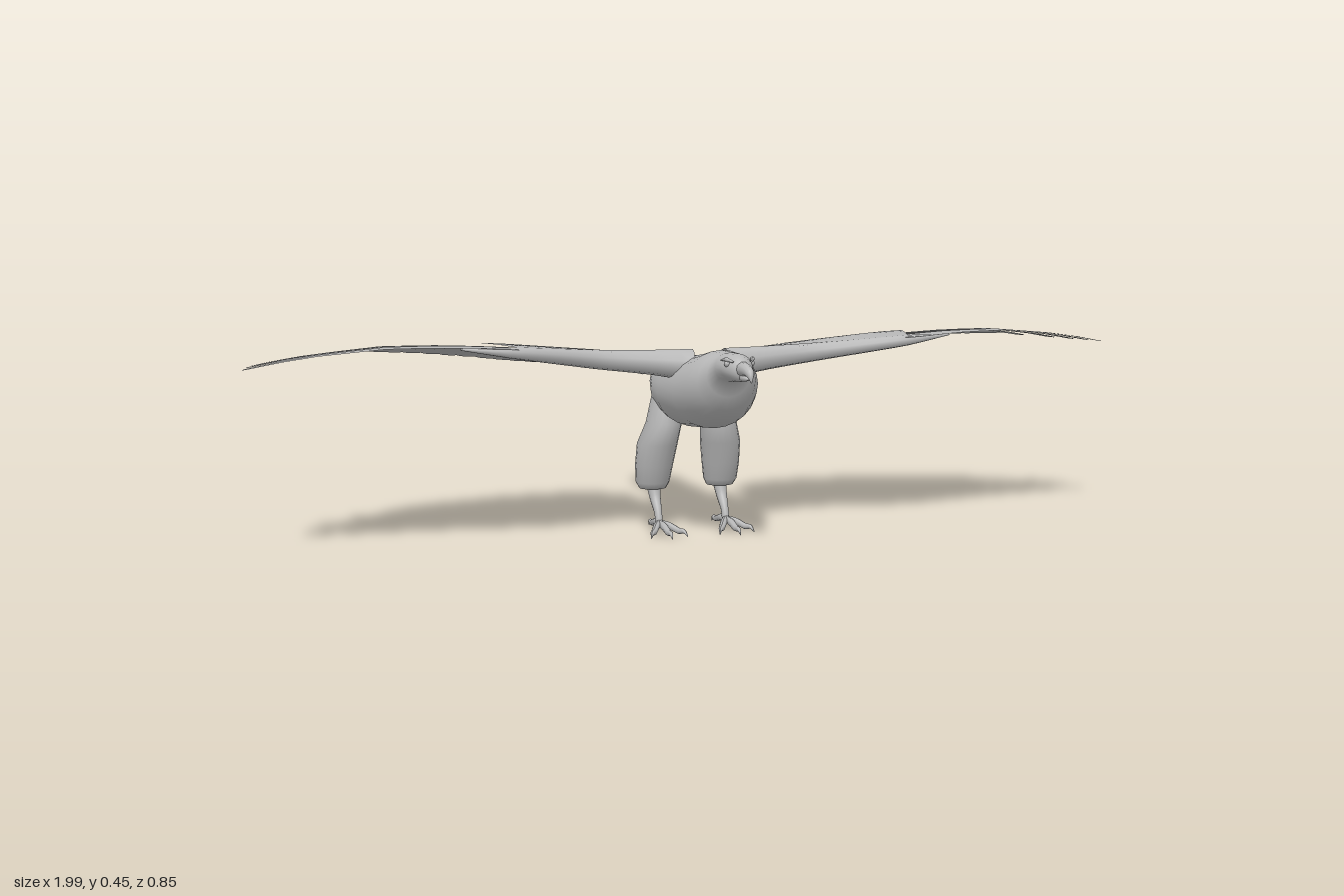
import * as THREE from 'three';

const plumage = new THREE.MeshStandardMaterial({ color: 0xb8b8b8, side: THREE.DoubleSide });
plumage.name = 'plumage grey';

const V = (x, y, z) => new THREE.Vector3(x, y, z);
const lerp = THREE.MathUtils.lerp;

function add(group, name, geometry) {
  const mesh = new THREE.Mesh(geometry, plumage);
  mesh.name = name;
  group.add(mesh);
  return mesh;
}

// linear lookup in a table of [position, value]
function lookup(table, x) {
  let i = 1;
  while (i < table.length - 1 && x > table[i][0]) i++;
  const [x0, y0] = table[i - 1], [x1, y1] = table[i];
  return lerp(y0, y1, THREE.MathUtils.clamp((x - x0) / (x1 - x0), 0, 1));
}

// surface through a rows x cols lattice of points; wrap closes each row
function lattice(rows, cols, point, wrap = false) {
  const pos = [], idx = [];
  for (let r = 0; r < rows; r++)
    for (let c = 0; c < cols; c++) pos.push(...point(r, c));
  for (let r = 0; r < rows - 1; r++) {
    for (let c = 0; c < (wrap ? cols : cols - 1); c++) {
      const d = (c + 1) % cols;
      const a = r * cols + c, b = r * cols + d;
      idx.push(a, a + cols, b, b, a + cols, b + cols);
    }
  }
  const g = new THREE.BufferGeometry();
  g.setAttribute('position', new THREE.Float32BufferAttribute(pos, 3));
  g.setIndex(idx);
  g.computeVertexNormals();
  return g;
}

// tube along a curve whose radius follows a list
function taper(points, radii, sides = 10) {
  const curve = new THREE.CatmullRomCurve3(points);
  const seg = (points.length - 1) * 5;
  const g = new THREE.TubeGeometry(curve, seg, 1, sides);
  const p = g.attributes.position, v = V(0, 0, 0);
  for (let i = 0; i <= seg; i++) {
    const centre = curve.getPointAt(i / seg);
    const u = curve.getUtoTmapping(i / seg) * (radii.length - 1);
    const k = Math.min(Math.floor(u), radii.length - 2);
    const r = lerp(radii[k], radii[k + 1], u - k);
    for (let j = 0; j <= sides; j++) {
      const n = i * (sides + 1) + j;
      v.fromBufferAttribute(p, n).sub(centre).multiplyScalar(r).add(centre);
      p.setXYZ(n, v.x, v.y, v.z);
    }
  }
  g.computeVertexNormals();
  return g;
}

// wing height: arched along the span, drooping to the trailing edge
const SPAN = [[0.05, 0.4], [0.2, 0.42], [0.45, 0.443], [0.58, 0.449], [0.7, 0.45], [0.85, 0.436], [0.93, 0.424], [1, 0.41]];
const wingY = (x, z) => lookup(SPAN, Math.abs(x)) - 0.3 * Math.max(0, 0.2 - z) ** 2;

// round-tipped feather laid on a height function
function feather(s, root, tip, w0, w1, height) {
  const dx = tip[0] - root[0], dz = tip[1] - root[1], len = Math.hypot(dx, dz);
  const round = (w1 / 2) / len, rows = 15;
  return lattice(rows, 5, (r, c) => {
    const t = r < 8 ? (r / 8) * (1 - round) : 1 - round * (1 - Math.sin(((r - 8) / 6) * Math.PI / 2));
    const e = Math.max(0, (t - 1 + round) / round);
    const half = lerp(w0, w1, t) / 2 * Math.sqrt(Math.max(0, 1 - e * e));
    const k = (c / 2 - 1) * half;
    const x = s * (root[0] + dx * t - dz / len * k), z = root[1] + dz * t + dx / len * k;
    return [x, height(x, z), z];
  });
}

function buildBody(group) {
  // z, top, bottom, half width, from face to rump
  const rings = [
    [0.378, 0.398, 0.398, 0], [0.375, 0.416, 0.378, 0.016], [0.36, 0.425, 0.373, 0.027],
    [0.335, 0.43, 0.371, 0.036], [0.305, 0.43, 0.367, 0.038], [0.287, 0.428, 0.332, 0.05],
    [0.275, 0.429, 0.302, 0.066], [0.24, 0.429, 0.277, 0.085], [0.2, 0.42, 0.254, 0.097],
    [0.1, 0.405, 0.244, 0.1], [0.03, 0.397, 0.25, 0.092], [-0.03, 0.388, 0.285, 0.075],
    [-0.07, 0.38, 0.316, 0.052], [-0.14, 0.363, 0.317, 0.03], [-0.157, 0.36, 0.327, 0.022],
    [-0.163, 0.348, 0.348, 0],
  ];
  const n = 24;
  add(group, 'body', lattice(rings.length, n, (r, c) => {
    const [z, top, bottom, w] = rings[r], a = (c / n) * Math.PI * 2;
    return [w * Math.cos(a), (top + bottom) / 2 + (top - bottom) / 2 * Math.sin(a), z];
  }, true));

  add(group, 'upperBeak', taper(
    [V(0, 0.4, 0.36), V(0, 0.401, 0.392), V(0, 0.394, 0.414), V(0, 0.377, 0.423)], [0.018, 0.013, 0.009, 0.001]));
  add(group, 'lowerBeak', taper([V(0, 0.386, 0.36), V(0, 0.383, 0.385), V(0, 0.382, 0.408)], [0.012, 0.007, 0.001]));
  for (const s of [1, -1]) {
    const eye = add(group, 'eye', new THREE.SphereGeometry(0.007, 12, 8));
    eye.position.set(s * 0.027, 0.411, 0.351);
    add(group, 'brow', taper(
      [V(s * 0.02, 0.416, 0.37), V(s * 0.029, 0.42, 0.352), V(s * 0.033, 0.417, 0.33)], [0.002, 0.005, 0.001], 8));
  }
}

function buildTail(group) {
  for (let i = -2; i <= 2; i++) {
    const height = (x) => 0.354 - 1.6 * x * x - Math.abs(i) * 0.0005;
    add(group, 'tailFeather', feather(1, [i * 0.022, -0.09], [i * 0.019, -0.428 + 0.006 * i * i], 0.06, 0.05, height));
  }
}

function buildLeg(group, s) {
  // y, front z, back z, inner x, outer x
  const rings = [
    [0.36, 0.035, 0.035, 0.055, 0.055], [0.35, 0.07, 0, 0.03, 0.08], [0.25, 0.091, -0.005, 0.025, 0.105],
    [0.2, 0.077, -0.024, 0.03, 0.121], [0.15, 0.06, -0.027, 0.037, 0.123], [0.11, 0.047, -0.027, 0.043, 0.12],
    [0.096, 0.037, -0.02, 0.05, 0.112], [0.093, 0.01, 0.01, 0.08, 0.08],
  ];
  const n = 18;
  add(group, 'thigh', lattice(rings.length, n, (r, c) => {
    const [y, f, b, i, o] = rings[r], a = (c / n) * Math.PI * 2;
    return [s * (i + o) / 2 + (o - i) / 2 * Math.cos(a), y, (f + b) / 2 - (f - b) / 2 * Math.sin(a)];
  }, true));
  add(group, 'shank', taper(
    [V(s * 0.08, 0.11, 0.01), V(s * 0.08, 0.075, 0.025), V(s * 0.08, 0.045, 0.046), V(s * 0.08, 0.018, 0.055)],
    [0.018, 0.013, 0.009, 0.009]));
  // three toes forward, one back, each ending in a claw
  for (const [x, z] of [[0.08, 0.152], [0.038, 0.132], [0.122, 0.128], [0.077, -0.033]]) {
    const at = (t, y) => V(s * lerp(0.08, x, t), y, lerp(0.055, z, t));
    add(group, 'toe', taper([at(0, 0.022), at(0.35, 0.02), at(0.7, 0.012), at(0.86, 0.013), at(1, 0.002)],
      [0.008, 0.008, 0.007, 0.005, 0.0006], 8));
  }
}

function buildWing(group, s) {
  add(group, 'wingArm', taper(
    [V(s * 0.04, 0.39, 0.16), V(s * 0.13, 0.398, 0.15), V(s * 0.25, 0.408, 0.15), V(s * 0.45, 0.434, 0.214), V(s * 0.56, 0.444, 0.207)],
    [0.035, 0.027, 0.021, 0.012, 0.002]));

  // separated finger feathers at the wing tip
  const fingers = [[0.995, 0.143], [0.985, 0.097], [0.97, 0.055], [0.942, 0.012], [0.88, -0.03]];
  fingers.forEach((tip, i) => add(group, 'fingerFeather',
    feather(s, [0.44, 0.207 - i * 0.008], tip, 0.075, 0.026, (x, z) => wingY(x, z) - i * 0.0005)));

  // flight feathers fanned from hand to elbow
  const tips = new THREE.CatmullRomCurve3([
    [0.81, -0.045], [0.75, -0.1], [0.67, -0.144], [0.55, -0.187], [0.43, -0.22],
    [0.325, -0.23], [0.23, -0.213], [0.165, -0.165]].map(([x, z]) => V(x, 0, z)));
  const roots = new THREE.CatmullRomCurve3([V(0.5, 0, 0.185), V(0.43, 0, 0.19), V(0.25, 0, 0.14), V(0.19, 0, 0.13)]);
  const count = 20;
  for (let i = 0; i < count; i++) {
    const t = i / (count - 1), a = roots.getPoint(t), b = tips.getPoint(t);
    add(group, 'flightFeather',
      feather(s, [a.x, a.z], [b.x, b.z], 0.06, 0.065, (x, z) => wingY(x, z) - 0.0025 - i * 0.0003));
  }

  // covert sheet over the forearm
  const [p, q, u, v] = [[0.5, 0.085], [0.45, 0.222], [0.235, 0.155], [0.22, -0.01]];
  add(group, 'coverts', lattice(9, 7, (r, c) => {
    const [x, z] = [0, 1].map((k) => lerp(lerp(v[k], p[k], r / 8), lerp(u[k], q[k], r / 8), c / 6));
    return [s * x, wingY(x, z) + 0.004, z];
  }));

  // shoulder feathers joining wing and back
  const shoulder = [[[0.17, 0.155], [0.19, -0.138], 0.14, 0.07], [[0.13, 0.145], [0.13, -0.03], 0.12, 0.08], [[0.075, 0.15], [0.075, -0.095], 0.09, 0.05]];
  shoulder.forEach(([root, tip, w0, w1], i) => add(group, 'shoulderFeather',
    feather(s, root, tip, w0, w1, (x, z) => wingY(x, z) + 0.003 - i * 0.002)));
}

export function createModel() {
  const bird = new THREE.Group();
  bird.name = 'bird';
  const part = (name, build, s) => {
    const g = new THREE.Group();
    g.name = name;
    build(g, s);
    bird.add(g);
  };
  part('torso', buildBody);
  part('tail', buildTail);
  for (const [side, s] of [['left', 1], ['right', -1]]) {
    part(side + 'Leg', buildLeg, s);
    part(side + 'Wing', buildWing, s);
  }
  return bird;
}
